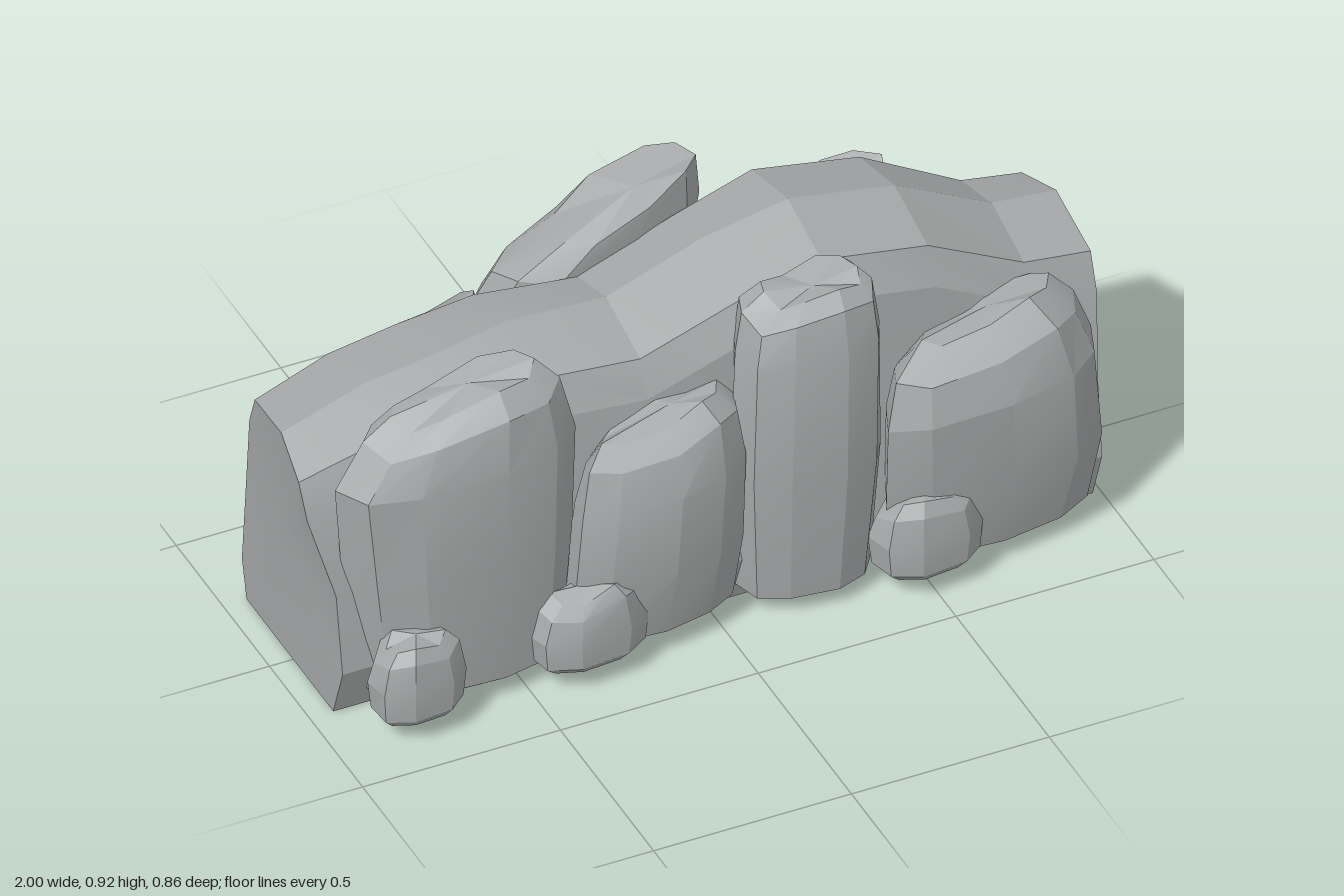
import * as THREE from 'three';
import { toCreasedNormals } from 'three/addons/utils/BufferGeometryUtils.js';

const stone = new THREE.MeshStandardMaterial({ color: 0xa6a8a9 });
stone.name = 'grey stone';

// Skin a list of closed rings, close both ends with a fan to a centre point
function loft(rings, startTip, endTip) {
  const n = rings[0].length, pts = rings.flat().concat([startTip, endTip]);
  const a = pts.length - 2, b = a + 1, last = (rings.length - 1) * n;
  const tris = [];
  for (let j = 0; j < n; j++) {
    const k = (j + 1) % n;
    for (let i = 0; i < last; i += n) {
      tris.push([i + j, i + k, i + n + j], [i + k, i + n + k, i + n + j]);
    }
    tris.push([a, k, j], [b, last + j, last + k]);
  }
  // Signed volume tells whether the skin faces outwards
  const v = pts.map(p => new THREE.Vector3(...p));
  let volume = 0;
  for (const [p, q, r] of tris) volume += v[p].dot(v[q].clone().cross(v[r]));
  if (volume < 0) tris.forEach(t => t.reverse());
  const geo = new THREE.BufferGeometry();
  geo.setAttribute('position', new THREE.Float32BufferAttribute(pts.flat(), 3));
  geo.setIndex(tris.flat());
  return toCreasedNormals(geo, 0.3);
}

// Upright rock from rows [y, xMin, xMax, zMin, zMax, rise towards +x];
// lean shifts the +z side of the plan along x
function rock(name, rows, tip, seed, lean, sides = 10) {
  const rings = rows.map(([y, x0, x1, z0, z1, rise = 0], r) => {
    const ring = [];
    for (let i = 0; i < sides; i++) {
      const t = (i + 0.3) / sides * Math.PI * 2;
      const bulge = p => Math.sign(p) * Math.abs(p) ** 0.8;
      const wob = 1 + 0.035 * Math.sin(seed * 7 + i * 2.6 + r * 0.5);
      const u = bulge(Math.cos(t)) * wob, w = bulge(Math.sin(t)) * wob;
      const jag = r > rows.length - 3 ? 0.014 * Math.sin(seed * 3 + i * 2.1) : 0;
      ring.push([(x0 + x1) / 2 + u * (x1 - x0) / 2 + lean * w, y + rise * u + jag,
        (z0 + z1) / 2 + w * (z1 - z0) / 2]);
    }
    return ring;
  });
  const [y, x0, x1, z0, z1] = rows[0];
  const mesh = new THREE.Mesh(loft(rings, [(x0 + x1) / 2, y, (z0 + z1) / 2], tip), stone);
  mesh.name = name;
  return mesh;
}

// Small boulder filling a box
function pebble(name, x0, x1, y0, y1, z0, z1, seed, lean = 0) {
  const row = (f, inset, rise = 0) => {
    const dx = (x1 - x0) * inset, dz = (z1 - z0) * inset;
    return [y0 + (y1 - y0) * f, x0 + dx, x1 - dx, z0 + dz, z1 - dz, rise];
  };
  return rock(name, [row(0, 0.13), row(0.1, 0.03), row(0.45, 0), row(0.8, 0.07, 0.01), row(0.95, 0.2, 0.01)],
    [(x0 + x1) / 2, y1, (z0 + z1) / 2], seed, lean, 8);
}

// Long central ridge, sections along x as [x, ridge height, shoulder width, ridge z]
function core() {
  const stations = [[-1, 0.69, 0.95, 0.03], [-0.77, 0.755, 1, 0.02], [-0.6, 0.78, 1.02, 0.02],
    [-0.4, 0.8, 1.03, 0], [-0.14, 0.77, 1, -0.02], [0.1, 0.86, 1.04, -0.02], [0.31, 0.92, 1.1, 0],
    [0.58, 0.87, 1.08, 0], [0.83, 0.73, 1, -0.01], [1, 0.705, 0.98, -0.02]];
  const { smoothstep } = THREE.MathUtils;
  const rings = stations.map(([x, t, w, ridge]) => {
    const section = [[0.215, 0], [0.265, 0.14], [0.24, 0.35], [0.205 * w, t - 0.14], [0.165 * w, t - 0.05],
      [ridge, t], [-0.175 * w, t - 0.05], [-0.22 * w, t - 0.14], [-0.25, 0.35], [-0.275, 0.1], [-0.25, 0]];
    return section.map(([z, y]) => {
      // The end faces flare upwards and are skewed towards the back
      let px = x;
      if (x === -1) px = -0.94 - 0.06 * smoothstep(y, 0.3, 0.6) + 0.13 * Math.max(0, 0.15 - z) * smoothstep(y, 0.3, 0.6);
      if (x === 1) px = 0.98 + 0.02 * smoothstep(y, 0.3, 0.65) - 0.1 * Math.max(0, -z);
      return [px, y, z];
    });
  });
  const mesh = new THREE.Mesh(loft(rings, [-0.955, 0.36, 0], [0.985, 0.37, 0]), stone);
  mesh.name = 'ridge core';
  return mesh;
}

export function createModel() {
  const group = new THREE.Group();
  group.name = 'rock wall';
  group.add(core());

  // Front slabs
  group.add(rock('front slab far right', [
    [0.02, -0.83, -0.46, 0.16, 0.29], [0.06, -0.87, -0.4, 0.14, 0.34], [0.4, -0.91, -0.38, 0.14, 0.36],
    [0.66, -0.93, -0.37, 0.14, 0.36, 0.02], [0.78, -0.86, -0.4, 0.14, 0.34, 0.04],
    [0.83, -0.79, -0.45, 0.16, 0.29, 0.045]], [-0.6, 0.84, 0.22], 1, 0.03));
  group.add(rock('front slab centre right', [
    [0.035, -0.34, 0.01, 0.18, 0.3], [0.07, -0.38, 0.04, 0.18, 0.35], [0.25, -0.38, 0.06, 0.18, 0.38],
    [0.46, -0.36, 0.07, 0.18, 0.38, 0.02], [0.57, -0.33, 0.06, 0.18, 0.35, 0.03],
    [0.615, -0.28, 0.02, 0.19, 0.3, 0.03]], [-0.1, 0.63, 0.24], 2, -0.03));
  group.add(rock('front slab centre left', [
    [0.015, 0.1, 0.36, 0.17, 0.29], [0.05, 0.07, 0.38, 0.16, 0.35], [0.4, 0.05, 0.4, 0.16, 0.385],
    [0.74, 0.06, 0.4, 0.16, 0.385, 0.01], [0.84, 0.08, 0.39, 0.16, 0.36, 0.02],
    [0.875, 0.14, 0.36, 0.18, 0.32, 0.015]], [0.25, 0.87, 0.26], 3, 0.02));
  group.add(rock('front slab far left', [
    [0.03, 0.48, 0.92, 0.18, 0.3], [0.06, 0.43, 0.95, 0.17, 0.36], [0.25, 0.41, 0.98, 0.17, 0.4],
    [0.48, 0.41, 0.96, 0.17, 0.41, 0.02], [0.59, 0.44, 0.92, 0.17, 0.38, 0.03],
    [0.65, 0.53, 0.86, 0.18, 0.31, 0.03]], [0.7, 0.65, 0.24], 4, -0.05));

  // Back slabs
  group.add(rock('back slab left', [
    [0.02, 0.22, 0.58, -0.33, -0.18], [0.06, 0.17, 0.63, -0.39, -0.18], [0.3, 0.15, 0.66, -0.42, -0.18],
    [0.5, 0.16, 0.66, -0.41, -0.18, 0.03], [0.62, 0.24, 0.66, -0.37, -0.18, 0.06],
    [0.69, 0.36, 0.65, -0.32, -0.19, 0.07]], [0.54, 0.72, -0.25], 5, 0.05));
  group.add(rock('back slab centre', [
    [0.02, -0.27, 0.12, -0.35, -0.2], [0.06, -0.32, 0.17, -0.4, -0.2], [0.3, -0.34, 0.19, -0.43, -0.2],
    [0.6, -0.34, 0.2, -0.43, -0.19, 0.02], [0.75, -0.29, 0.21, -0.4, -0.17, 0.06],
    [0.85, -0.17, 0.19, -0.36, -0.17, 0.08]], [0.04, 0.87, -0.25], 6, 0));
  group.add(rock('back slab right', [
    [0.02, -0.74, -0.38, -0.33, -0.18], [0.06, -0.78, -0.34, -0.38, -0.18], [0.25, -0.79, -0.31, -0.42, -0.18],
    [0.42, -0.77, -0.31, -0.41, -0.18, 0.02], [0.55, -0.71, -0.33, -0.38, -0.18, 0.03],
    [0.62, -0.6, -0.36, -0.34, -0.19, 0.03]], [-0.46, 0.66, -0.25], 7, -0.06));

  // Small boulders around the foot
  group.add(pebble('front boulder right', -0.91, -0.68, 0.055, 0.27, 0.27, 0.43, 1));
  group.add(pebble('front boulder centre', -0.5, -0.21, 0.055, 0.26, 0.26, 0.41, 2));
  group.add(pebble('front boulder left', 0.36, 0.63, 0.055, 0.275, 0.27, 0.43, 3));
  group.add(pebble('back boulder left', 0.64, 0.94, 0.05, 0.32, -0.43, -0.2, 4, 0.05));
  group.add(pebble('back boulder right', -0.58, -0.31, 0.05, 0.21, -0.43, -0.28, 5));
  return group;
}
